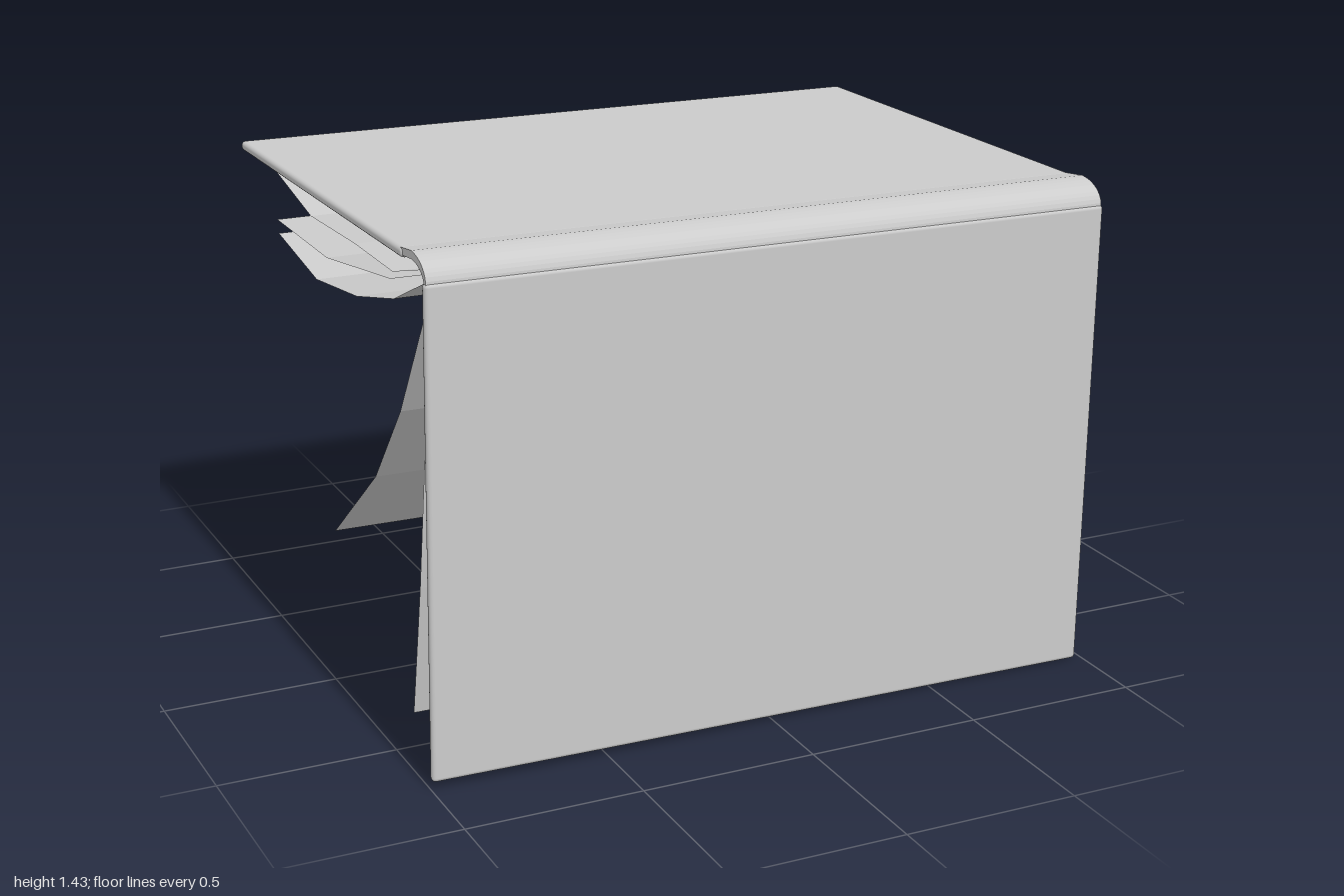
import * as THREE from 'three';
import { RoundedBoxGeometry } from 'three/addons/geometries/RoundedBoxGeometry.js';

const boardMat = new THREE.MeshStandardMaterial({ color: 0xcccccc });
const pageMat = new THREE.MeshStandardMaterial({ color: 0xcccccc, flatShading: true, side: THREE.DoubleSide });

// Thin bent sheet following a [z, y] profile; the -x side is shifted by skew along the sheet normal
function sheet(profile, x0, x1, skew) {
  const pos = [], index = [];
  profile.forEach(([z, y], i) => {
    const a = profile[Math.max(i - 1, 0)], b = profile[Math.min(i + 1, profile.length - 1)];
    const dz = b[0] - a[0], dy = b[1] - a[1], len = Math.hypot(dz, dy);
    const nz = dy / len, ny = -dz / len;
    for (const [x, s] of [[x0, skew / 2], [x1, -skew / 2]]) pos.push(x, y + ny * s, z + nz * s);
    if (i > 0) {
      const k = 2 * i;
      index.push(k - 2, k, k - 1, k - 1, k, k + 1);
    }
  });
  const g = new THREE.BufferGeometry();
  g.setAttribute('position', new THREE.Float32BufferAttribute(pos, 3));
  g.setIndex(index);
  g.computeVertexNormals();
  return g;
}

// Curved spine strip, extruded along x
function spineGeometry() {
  const s = new THREE.Shape();
  s.moveTo(-0.765, 1.355);
  s.bezierCurveTo(-0.765, 1.395, -0.72, 1.42, -0.665, 1.422);
  s.lineTo(-0.59, 1.412);
  s.lineTo(-0.59, 1.392);
  s.lineTo(-0.665, 1.4);
  s.bezierCurveTo(-0.71, 1.4, -0.75, 1.38, -0.75, 1.355);
  const g = new THREE.ExtrudeGeometry(s, { depth: 1.97, bevelEnabled: false, curveSegments: 10 });
  g.translate(0, 0, -0.985);
  g.rotateY(Math.PI / 2); // shape x becomes -z
  return g;
}

export function createModel() {
  const book = new THREE.Group();
  book.name = 'openBook';
  const add = (parent, name, geo, mat) => {
    const m = new THREE.Mesh(geo, mat);
    m.name = name;
    parent.add(m);
    return m;
  };

  // Covers and spine, leaning slightly sideways as one piece
  const binding = new THREE.Group();
  binding.name = 'binding';
  binding.position.y = 0.7;
  binding.rotation.z = -0.011;
  book.add(binding);

  const front = add(binding, 'frontCover', new RoundedBoxGeometry(1.98, 1.35, 0.026, 2, 0.011), boardMat);
  front.position.set(0, 0.686 - 0.7, 0.757);

  const top = add(binding, 'topCover', new RoundedBoxGeometry(1.98, 0.028, 1.35, 2, 0.012), boardMat);
  top.position.set(0, 1.389 - 0.7, -0.07);
  top.rotation.x = -0.0155;

  const spine = add(binding, 'spine', spineGeometry(), boardMat);
  spine.position.y = -0.7;

  // Pages hanging behind the front cover
  const hanging = [
    [[0.7, 1.34], [0.695, 0.01]],
    [[0.69, 1.34], [0.645, 1.0], [0.61, 0.4], [0.577, 0.015]],
    [[0.67, 1.335], [0.58, 0.8], [0.55, 0.42], [0.5, 0.01]],
    [[0.65, 1.335], [0.515, 0.8], [0.455, 0.43], [0.375, 0.03]],
    [[0.625, 1.335], [0.34, 0.89], [0.12, 0.63], [-0.255, 0.335]],
  ];
  // Pages sagging below the top cover
  const sagging = [
    [[0.62, 1.345], [0.25, 1.18], [-0.05, 1.105], [-0.4, 1.06], [-0.745, 1.11]],
    [[0.62, 1.35], [0.23, 1.23], [-0.3, 1.15], [-0.755, 1.15]],
    [[0.62, 1.36], [0.25, 1.255], [-0.05, 1.255], [-0.43, 1.24], [-0.75, 1.3]],
    [[0.62, 1.375], [0.15, 1.33], [-0.35, 1.308], [-0.775, 1.365]],
  ];
  const pages = new THREE.Group();
  pages.name = 'pages';
  book.add(pages);
  hanging.forEach((p, i) => add(pages, 'hangingPage' + (i + 1), sheet(p, -0.9, 0.92, i ? 0.018 : 0), pageMat));
  sagging.forEach((p, i) => add(pages, 'saggingPage' + (i + 1), sheet(p, -0.88, 0.95, 0.003), pageMat));

  return book;
}
